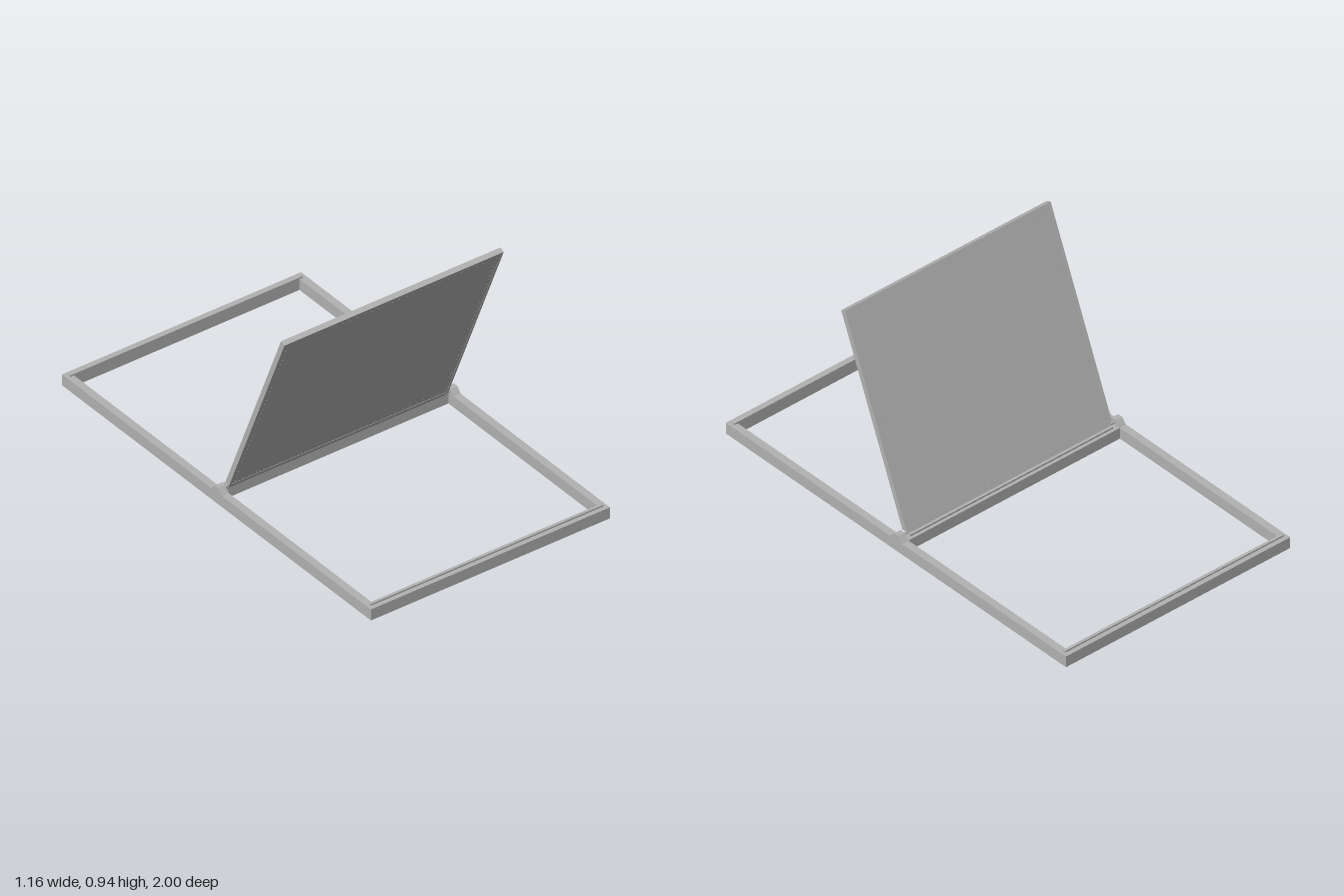
import * as THREE from 'three';

export function createModel() {
  const model = new THREE.Group();
  model.name = 'tiltingPanelFrame';
  const grey = new THREE.MeshStandardMaterial({ color: 0xb2b2b2 });
  grey.name = 'grey metal';

  function add(parent, name, geometry, x = 0, y = 0, z = 0) {
    const mesh = new THREE.Mesh(geometry, grey);
    mesh.name = name;
    mesh.position.set(x, y, z);
    parent.add(mesh);
    return mesh;
  }
  const box = (parent, name, w, h, d, x, y, z) =>
    add(parent, name, new THREE.BoxGeometry(w, h, d), x, y, z);

  // Base frame: one rectangular ring, extruded upwards
  const rect = (Type, w, d) => {
    const p = new Type();
    p.moveTo(-w, -d).lineTo(w, -d).lineTo(w, d).lineTo(-w, d).closePath();
    return p;
  };
  const ring = rect(THREE.Shape, 0.58, 1);
  ring.holes.push(rect(THREE.Path, 0.547, 0.967));
  const ringGeometry = new THREE.ExtrudeGeometry(ring, { depth: 0.052, bevelEnabled: false });
  ringGeometry.rotateX(-Math.PI / 2);
  add(model, 'baseFrame', ringGeometry);

  // Cross rail under the hinge, with a raised rib
  box(model, 'crossRail', 1.096, 0.052, 0.034, 0, 0.026, -0.019);
  box(model, 'crossRailRib', 1.05, 0.008, 0.012, 0, 0.056, -0.016);

  // Low seal strips along the end rails
  for (const s of [-1, 1]) {
    box(model, 'sealStrip', 1.13, 0.007, 0.013, 0, 0.0555, s * 0.973);
  }

  // Bearing blocks with chamfered tops, and the pivot pins
  const block = new THREE.Shape();
  block.moveTo(-0.036, 0.05).lineTo(0.036, 0.05).lineTo(0.03, 0.057)
    .lineTo(0.012, 0.076).lineTo(-0.012, 0.076).lineTo(-0.03, 0.057).closePath();
  const blockGeometry = new THREE.ExtrudeGeometry(block, { depth: 0.034, bevelEnabled: false });
  blockGeometry.translate(0, 0, -0.017).rotateY(Math.PI / 2);
  const pinGeometry = new THREE.CylinderGeometry(0.006, 0.006, 0.05, 16).rotateZ(Math.PI / 2);
  for (const s of [-1, 1]) {
    add(model, 'bearingBlock', blockGeometry, s * 0.563, 0, 0);
    add(model, 'pivotPin', pinGeometry, s * 0.535, 0.06, 0);
  }

  // Tilted panel, hinged at its lower edge
  const panel = new THREE.Group();
  panel.name = 'tiltedPanel';
  panel.position.set(0, 0.06, 0);
  panel.rotation.x = THREE.MathUtils.degToRad(22.6);
  model.add(panel);
  const bottom = 0.012, top = 0.95, middle = (bottom + top) / 2, height = top - bottom;
  box(panel, 'panelSheet', 1.044, height - 0.02, 0.021, 0, middle, 0);
  box(panel, 'hingeBar', 1.05, 0.018, 0.018, 0, 0.005, 0);
  for (const s of [-1, 1]) {
    box(panel, 'sideEdge', 0.01, height, 0.024, s * 0.527, middle, 0);
    box(panel, 'crossEdge', 1.044, 0.01, 0.024, 0, middle + s * (height / 2 - 0.005), 0);
  }

  // Rows of tiny fasteners just inside the panel edges, on both faces
  const screw = new THREE.CylinderGeometry(0.0022, 0.0022, 0.0235, 8).rotateX(Math.PI / 2);
  const count = 30;
  for (let i = 0; i <= count; i++) {
    const t = i / count - 0.5;
    for (const s of [-1, 1]) {
      add(panel, 'fastener', screw, s * 0.508, middle + t * (height - 0.05), 0);
      if (i > 0 && i < count) {
        add(panel, 'fastener', screw, t * 1.016, middle + s * (height / 2 - 0.025), 0);
      }
    }
  }
  return model;
}
